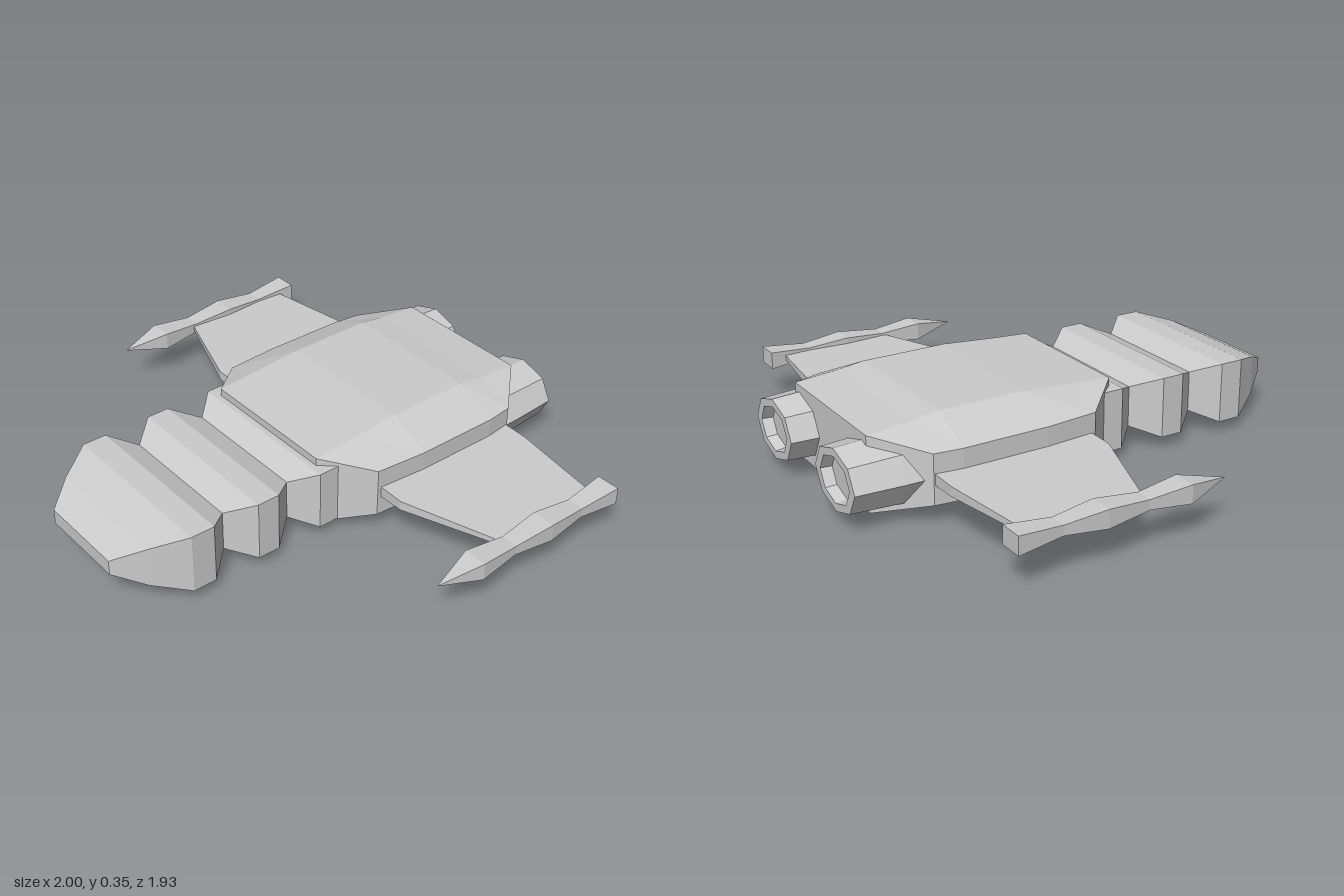
import * as THREE from 'three';

const material = new THREE.MeshStandardMaterial({ color: 0xcccccc, flatShading: true });

// Closed skin through rings of [x, y, z], counter-clockwise seen from the end the rings run towards
function loft(rings) {
  const n = rings[0].length, last = (rings.length - 1) * n, index = [];
  for (let r = 0; r < rings.length - 1; r++) {
    for (let i = 0; i < n; i++) {
      const a = r * n + i, b = r * n + (i + 1) % n;
      index.push(a, b, b + n, a, b + n, a + n);
    }
  }
  for (let i = 1; i < n - 1; i++) {
    index.push(0, i + 1, i, last, last + i, last + i + 1);
  }
  const geometry = new THREE.BufferGeometry();
  geometry.setAttribute('position', new THREE.Float32BufferAttribute(rings.flat(2), 3));
  geometry.setIndex(index);
  const flat = geometry.toNonIndexed();
  flat.computeVertexNormals();
  return flat;
}

// Rectangle across z with half width w and half height h
const rect = (z, w, h, y = 0) => [[w, y - h, z], [w, y + h, z], [-w, y + h, z], [-w, y - h, z]];

export function createModel() {
  const model = new THREE.Group();
  const add = (name, geometry, x = 0, y = 0, z = 0) => {
    const mesh = new THREE.Mesh(geometry, material);
    mesh.name = name;
    mesh.position.set(x, y, z);
    model.add(mesh);
  };
  const midY = 0.175;

  // Main hull: bevelled box whose bevels close up at both ends [z, side x, side half height, roof half height]
  const hull = [
    [-0.86, 0.29, 0.145, 0.145], [-0.69, 0.447, 0.096, 0.159], [-0.58, 0.46, 0.096, 0.173],
    [-0.24, 0.46, 0.096, 0.173], [-0.03, 0.444, 0.098, 0.156], [0.137, 0.29, 0.145, 0.145],
  ];
  add('hull', loft(hull.map(([z, x, s, t]) => [
    [0.29, -t, z], [x, -s, z], [x, s, z], [0.29, t, z],
    [-0.29, t, z], [-x, s, z], [-x, -s, z], [-0.29, -t, z],
  ])), 0, midY);

  // Ribbed neck and blunt nose [z, half width, half height]
  const neck = [
    [0, 0.345, 0.12], [0.16, 0.345, 0.12], [0.25, 0.262, 0.08], [0.35, 0.345, 0.12],
    [0.44, 0.345, 0.12], [0.537, 0.262, 0.08], [0.63, 0.345, 0.12], [0.725, 0.345, 0.12],
    [0.855, 0.262, 0.08], [0.96, 0.18, 0.03],
  ];
  add('neckAndNose', loft(neck.map(([z, w, h]) => rect(z, w, h))), 0, 0.17);

  // Wing sections [x, back z, front z, half thickness]
  const wing = [[0.4, -0.685, -0.045, 0.023], [0.55, -0.685, -0.045, 0.019], [0.955, -0.632, -0.187, 0.009]];
  // Wingtip pod, pinched twice [z, half width, half height]
  const pod = [
    [-0.7, 0.047, 0.035], [-0.525, 0.034, 0.019], [-0.36, 0.047, 0.035],
    [-0.19, 0.034, 0.019], [-0.025, 0.047, 0.035], [0.147, 0.001, 0.001],
  ];
  // Eight-sided engine with a recessed nozzle
  const nozzle = [[0, 0.6], [0.172, 0.6], [0.167, 0.78], [0.155, 0.967], [0.115, 0.967], [0.108, 0.925], [0, 0.925]];

  for (const [side, s] of [['left', 1], ['right', -1]]) {
    const sections = wing.map(([x, back, front, t]) => [
      [x * s, -t, front], [x * s, -t, back], [x * s, t, back], [x * s, t, front],
    ]);
    if (s < 0) sections.reverse();
    add(side + 'Wing', loft(sections), 0, midY);
    add(side + 'WingtipPod', loft(pod.map(([z, w, h]) => rect(z, w, h))), s * 0.953, midY);

    const engine = new THREE.LatheGeometry(nozzle.map(([r, d]) => new THREE.Vector2(r, d)), 8);
    engine.rotateX(-Math.PI / 2).scale(1, 0.76, 1);
    add(side + 'Engine', engine, s * 0.257, 0.17);
  }
  return model;
}
